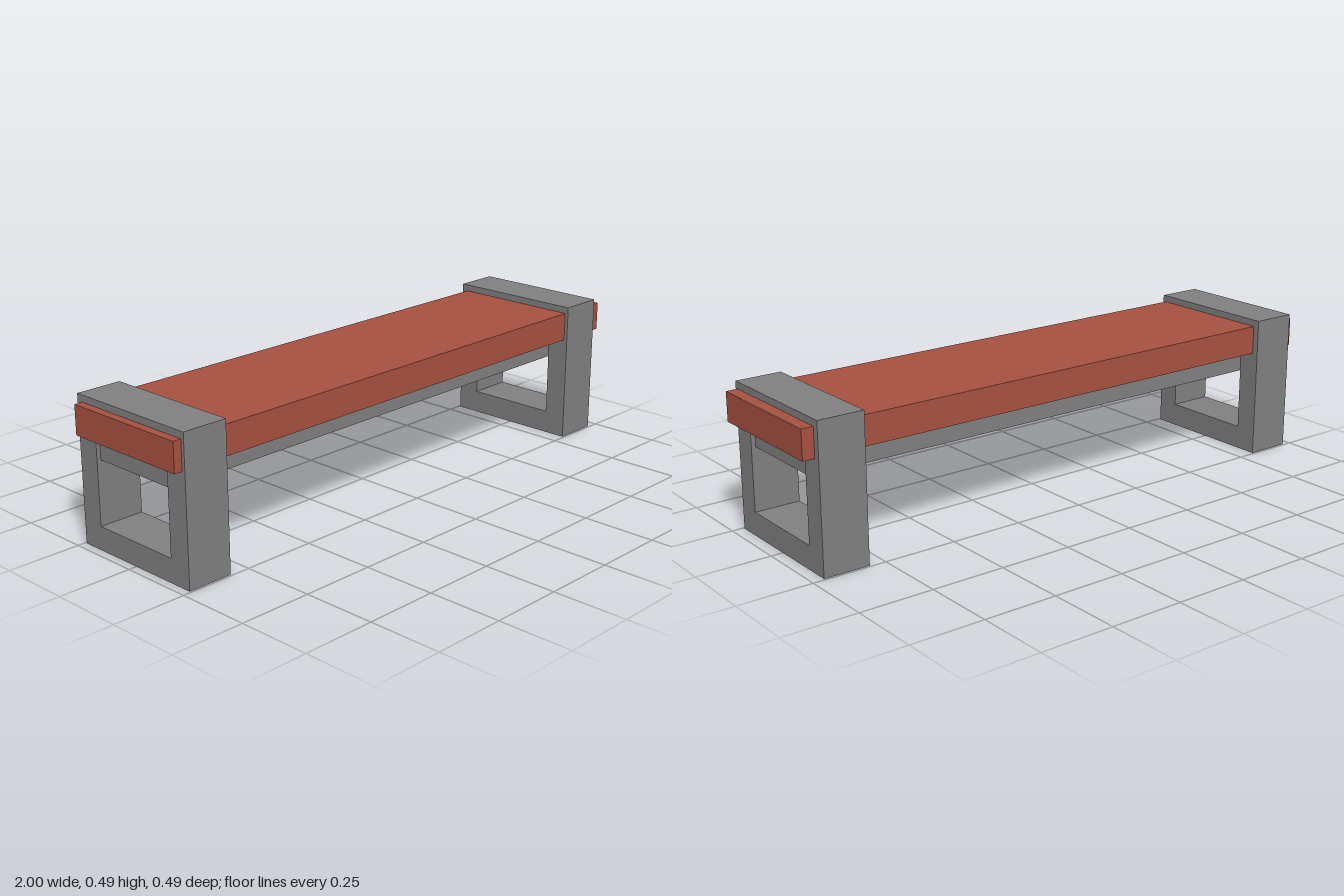
import * as THREE from 'three';

const brick = new THREE.MeshStandardMaterial({ color: 0xa65140 });
brick.name = 'brickRed';
const concrete = new THREE.MeshStandardMaterial({ color: 0x808080 });
concrete.name = 'concreteGrey';

// Box given by its minimum and maximum corners
function box(name, material, min, max) {
  const size = max.map((v, i) => v - min[i]);
  const mesh = new THREE.Mesh(new THREE.BoxGeometry(...size), material);
  mesh.position.set(...max.map((v, i) => (v + min[i]) / 2));
  mesh.name = name;
  return mesh;
}

// Square frame leg with a window, extruded along x
function frameLeg(name, x0, x1) {
  const h = 0.488, half = 0.244, wall = 0.08;
  const shape = new THREE.Shape();
  shape.moveTo(-half, 0).lineTo(half, 0).lineTo(half, h).lineTo(-half, h).closePath();
  const hole = new THREE.Path();
  const w = 0.165;
  hole.moveTo(-w, wall).lineTo(-w, h - wall).lineTo(w, h - wall).lineTo(w, wall).closePath();
  shape.holes.push(hole);
  const geometry = new THREE.ExtrudeGeometry(shape, { depth: x1 - x0, bevelEnabled: false });
  geometry.rotateY(Math.PI / 2);
  const mesh = new THREE.Mesh(geometry, concrete);
  mesh.position.x = x0;
  mesh.name = name;
  return mesh;
}

export function createModel() {
  const bench = new THREE.Group();
  bench.name = 'bench';

  // Seat plank passing through both frames
  bench.add(box('seat', brick, [-1, 0.367, -0.222], [1, 0.465, 0.232]));

  // Support beam under the seat, ending just inside the frame faces
  bench.add(box('supportBeam', concrete, [-0.958, 0.292, -0.165], [0.945, 0.367, 0.165]));

  // Frame legs
  bench.add(frameLeg('rightLeg', -0.972, -0.815));
  bench.add(frameLeg('leftLeg', 0.803, 0.96));

  return bench;
}
